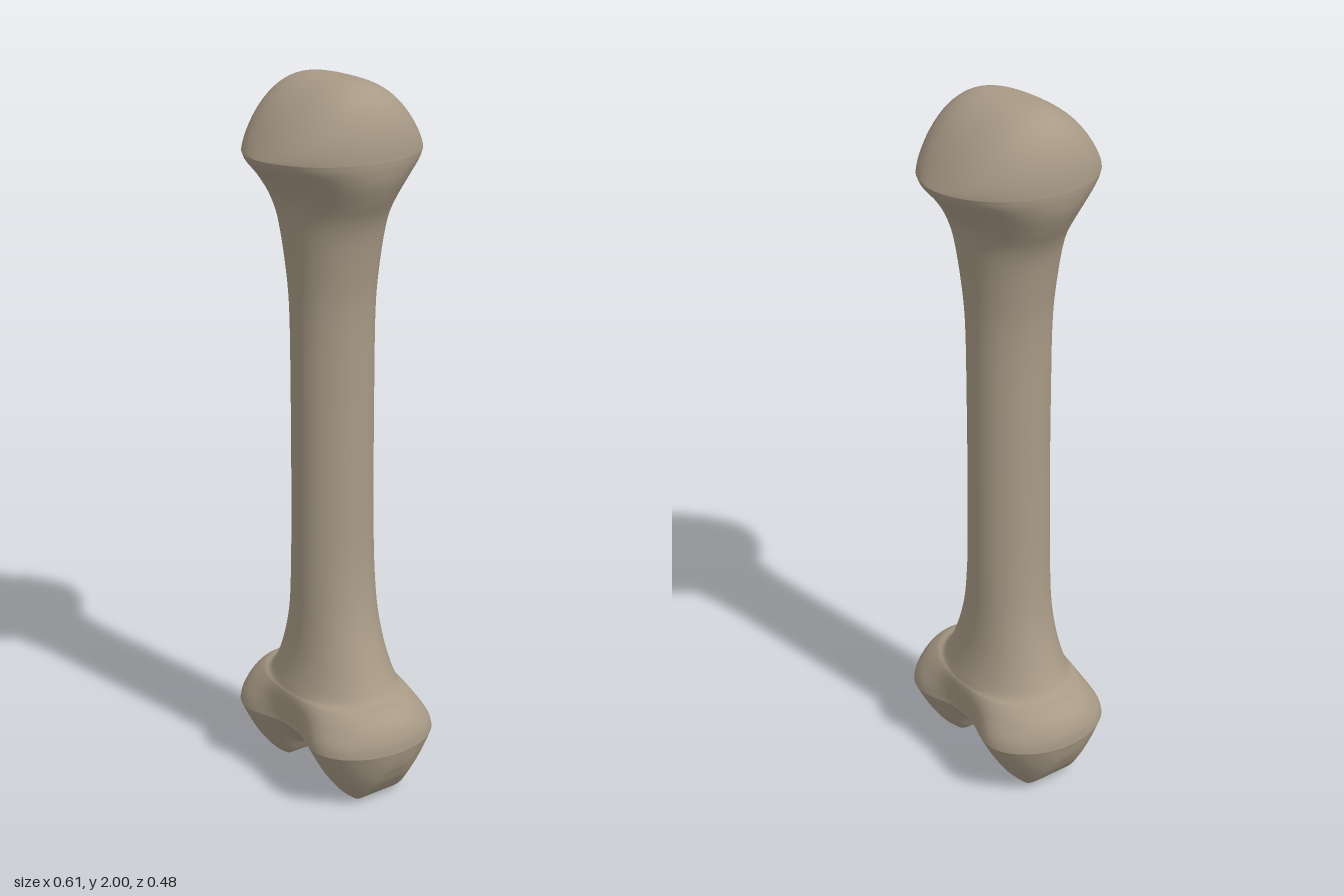
import * as THREE from 'three';

const SEG = 96;
const { smoothstep, lerp, clamp } = THREE.MathUtils;

// Closed loops of points, stacked bottom to top, joined into a smooth skin
function loft(rows, point) {
  const pos = [], index = [];
  for (let i = 0; i <= rows; i++) {
    for (let j = 0; j < SEG; j++) pos.push(...point(i / rows, (j / SEG) * Math.PI * 2));
  }
  for (let i = 0; i < rows; i++) {
    for (let j = 0; j < SEG; j++) {
      const k = (j + 1) % SEG;
      const a = i * SEG + j, b = i * SEG + k, c = a + SEG, d = b + SEG;
      index.push(a, c, b, b, c, d);
    }
  }
  const g = new THREE.BufferGeometry();
  g.setAttribute('position', new THREE.Float32BufferAttribute(pos, 3));
  g.setIndex(index);
  g.computeVertexNormals();
  return g;
}

// Half depth of the lower end: two round lobes with a slight waist between
function lobeDepth(x) {
  const ax = Math.abs(x);
  if (ax < 0.16) return lerp(0.16, 0.192, smoothstep(ax, 0.03, 0.16));
  return 0.192 * Math.sqrt(Math.max(0, 1 - ((ax - 0.16) / 0.145) ** 2));
}

function lobeOutline(a) {
  const x = 0.305 * Math.cos(a), s = Math.sin(a);
  return [x, Math.abs(s) < 1e-6 ? 0 : Math.sign(s) * lobeDepth(x)];
}

// Underside height across x, at mid depth: notch, flat foot, rounded outside
const under = [[0, 0.095], [0.05, 0.088], [0.08, 0.065], [0.105, 0.025], [0.13, 0.006], [0.16, 0],
  [0.195, 0.003], [0.225, 0.03], [0.26, 0.075], [0.29, 0.13], [0.305, 0.18]];
function underHeight(x) {
  const ax = Math.min(Math.abs(x), 0.305);
  let i = 0;
  while (i < under.length - 2 && ax > under[i + 1][0]) i++;
  const [x0, y0] = under[i], [x1, y1] = under[i + 1];
  return lerp(y0, y1, (ax - x0) / (x1 - x0));
}

// Shaft sections: half width, height, half depth
const shaftCurve = new THREE.CatmullRomCurve3([
  [0.305, 0.18, 0.192], [0.302, 0.215, 0.188], [0.285, 0.255, 0.178], [0.25, 0.283, 0.167],
  [0.215, 0.295, 0.16], [0.19, 0.33, 0.148], [0.16, 0.4, 0.132], [0.13, 0.5, 0.121],
  [0.113, 0.63, 0.118], [0.106, 0.85, 0.117], [0.105, 1.15, 0.117], [0.11, 1.4, 0.119],
  [0.122, 1.5, 0.126], [0.14, 1.6, 0.138], [0.158, 1.65, 0.146], [0.186, 1.7, 0.163],
  [0.21, 1.75, 0.196], [0.22, 1.79, 0.232], [0.222, 1.81, 0.242],
].map((p) => new THREE.Vector3(...p)));

export function createModel() {
  const group = new THREE.Group();
  group.name = 'bone';
  const boneMaterial = new THREE.MeshStandardMaterial({ color: 0xa89a86 });
  boneMaterial.name = 'bone tan';
  const add = (name, geometry) => {
    const mesh = new THREE.Mesh(geometry, boneMaterial);
    mesh.name = name;
    group.add(mesh);
  };

  // Two-lobed underside of the lower joint
  add('lowerJoint', loft(40, (s, a) => {
    const [ox, oz] = lobeOutline(a);
    const x = ox * s, z = oz * s;
    const depth = lobeDepth(x);
    const t = s === 1 ? 1 : clamp(depth > 1e-6 ? Math.abs(z) / depth : 0, 0, 1);
    const drop = Math.min(1, 1.15 * (1 - t * t));
    return [x, 0.18 - (0.18 - underHeight(x)) * drop, z];
  }));

  // Shaft, flaring from the lobes below to the round rim above
  add('shaft', loft(90, (t, a) => {
    const p = shaftCurve.getPoint(t);
    const [lx, lz] = lobeOutline(a);
    const w = 1 - smoothstep(p.y, 0.18, 0.31);
    const x = lerp(Math.cos(a), lx / 0.305, w) * p.x;
    const z = lerp(Math.sin(a), lz / 0.192, w) * p.z;
    return [x - 0.01 * smoothstep(p.y, 0.25, 0.7), p.y, z];
  }));

  // Head: domed front to back, flat-topped with rounded shoulders side to side
  add('head', loft(28, (t, a) => {
    const s = Math.sin((1 - t) * Math.PI / 2);
    const c = Math.cos(a) ** 2;
    const shoulder = 1 - Math.sqrt(Math.max(0, 1 - s ** 4));
    const y = 2 - 0.19 * (c * shoulder + (1 - c) * s ** 2.2);
    return [0.222 * s * Math.cos(a) - 0.01, y, 0.242 * s * Math.sin(a)];
  }));

  return group;
}
